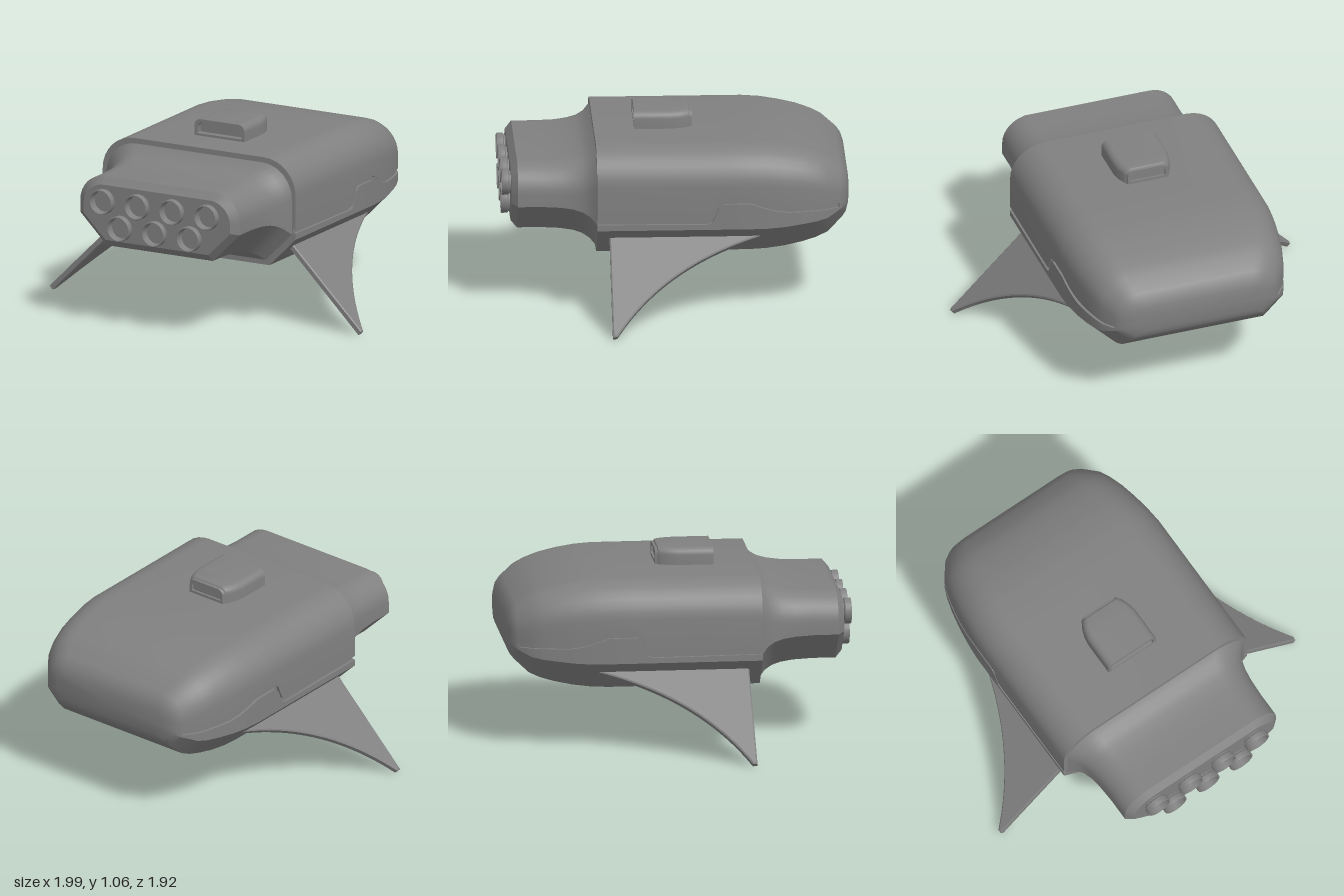
import * as THREE from 'three';
import { toCreasedNormals } from 'three/addons/utils/BufferGeometryUtils.js';

const grey = new THREE.MeshStandardMaterial({ color: 0x808080 });
const greyBoth = new THREE.MeshStandardMaterial({ color: 0x808080, side: THREE.DoubleSide });

function part(name, geometry, parent, material = grey) {
  const mesh = new THREE.Mesh(geometry, material);
  mesh.name = name;
  parent.add(mesh);
  return mesh;
}

// Linear interpolation in rows whose first entry is a falling z
function lookUp(rows, z) {
  let i = 0;
  while (i < rows.length - 2 && z < rows[i + 1][0]) i++;
  const [a, b] = [rows[i], rows[i + 1]];
  const t = THREE.MathUtils.clamp((z - a[0]) / (b[0] - a[0]), 0, 1);
  return a.map((v, k) => v + (b[k] - v) * t);
}

// Section with chamfered bottom corners, rounded top corners and an optional side groove
function section([z, w, top, bottom, chamfer, radius], groove) {
  const half = [[w - chamfer, bottom], [w, bottom + chamfer]];
  if (groove) {
    const { y, depth, h } = groove;
    half.push([w, y - h], [w - depth, y - h], [w - depth, y + h], [w, y + h]);
  }
  for (let i = 0; i <= 8; i++) {
    const a = (i / 8) * Math.PI / 2;
    half.push([w - radius + Math.cos(a) * radius, top - radius + Math.sin(a) * radius]);
  }
  const mirrored = half.map(([x, y]) => [-x, y]).reverse();
  return [...half, ...mirrored].map(([x, y]) => [x, y, z]);
}

// Skin over a row of sections, closed at both ends
function loft(sections, crease = 0.5) {
  const n = sections[0].length, positions = sections.flat(2), index = [];
  sections.forEach((s, i) => {
    if (i === sections.length - 1) return;
    for (let j = 0; j < n; j++) {
      const a = i * n + j, b = i * n + (j + 1) % n;
      index.push(a, a + n, b, b, a + n, b + n);
    }
  });
  [0, sections.length - 1].forEach((i, end) => {
    const ys = sections[i].map(p => p[1]);
    const centre = positions.length / 3;
    positions.push(0, (Math.min(...ys) + Math.max(...ys)) / 2, sections[i][0][2]);
    for (let j = 0; j < n; j++) {
      const a = i * n + j, b = i * n + (j + 1) % n;
      if (end) index.push(centre, b, a);
      else index.push(centre, a, b);
    }
  });
  const g = new THREE.BufferGeometry();
  g.setAttribute('position', new THREE.Float32BufferAttribute(positions, 3));
  g.setIndex(index);
  return toCreasedNormals(g, crease);
}

// Main hull: z, half width, top, bottom, chamfer, corner radius
function hullGeometry() {
  const rows = [
    [0.445, 0.618, 0.965, 0.35, 0.168, 0.2], [-0.4, 0.618, 0.965, 0.35, 0.168, 0.2],
    [-0.5, 0.61, 0.96, 0.355, 0.162, 0.2], [-0.6, 0.597, 0.947, 0.367, 0.155, 0.2],
    [-0.7, 0.578, 0.926, 0.387, 0.145, 0.19], [-0.78, 0.556, 0.9, 0.41, 0.13, 0.18],
    [-0.84, 0.532, 0.872, 0.437, 0.115, 0.17], [-0.92, 0.47, 0.81, 0.51, 0.08, 0.14],
    [-0.945, 0.43, 0.775, 0.54, 0.06, 0.1], [-0.96, 0.37, 0.73, 0.58, 0.05, 0.06]
  ];
  // Height of the side seam
  const seam = [
    [0.445, 0.565], [-0.165, 0.56], [-0.195, 0.57], [-0.215, 0.61], [-0.23, 0.65],
    [-0.26, 0.675], [-0.41, 0.675], [-0.46, 0.655], [-0.55, 0.627], [-0.62, 0.615],
    [-0.9, 0.61], [-0.905, 0.61], [-0.92, 0.62], [-0.945, 0.643], [-0.96, 0.655]
  ];
  const stations = [...new Set([...rows, ...seam].map(r => r[0]))].sort((a, b) => b - a);
  return loft(stations.map(z => section(lookUp(rows, z),
    { y: lookUp(seam, z)[1], h: 0.012, depth: z < -0.9 ? 0.0005 : 0.016 })));
}

// Flared block that carries the nozzles
function neckGeometry() {
  return loft([
    [0.915, 0.47, 0.815, 0.5, 0.14, 0.13], [0.88, 0.51, 0.855, 0.46, 0.17, 0.155],
    [0.75, 0.51, 0.855, 0.46, 0.17, 0.155], [0.64, 0.515, 0.859, 0.455, 0.17, 0.16],
    [0.57, 0.524, 0.868, 0.446, 0.17, 0.165], [0.52, 0.537, 0.88, 0.432, 0.17, 0.17],
    [0.48, 0.558, 0.9, 0.411, 0.17, 0.18], [0.445, 0.594, 0.935, 0.378, 0.167, 0.19],
    [0.42, 0.6, 0.94, 0.37, 0.167, 0.19]
  ].map(r => section(r)));
}

// Roof intake with recessed mouths at both ends
function intakeGeometry() {
  return loft([
    [0.18, 0.14, 1.042, 0.978, 0.004, 0.03], [0.22, 0.14, 1.042, 0.978, 0.004, 0.03],
    [0.22, 0.16, 1.06, 0.94, 0.004, 0.04], [0.02, 0.16, 1.06, 0.94, 0.004, 0.04],
    [-0.03, 0.151, 1.06, 0.94, 0.004, 0.04], [-0.07, 0.136, 1.06, 0.94, 0.004, 0.04],
    [-0.085, 0.128, 1.058, 0.94, 0.004, 0.04], [-0.09, 0.122, 1.05, 0.94, 0.004, 0.035],
    [-0.103, 0.117, 1.048, 0.94, 0.004, 0.035], [-0.103, 0.102, 1.035, 0.98, 0.004, 0.025],
    [-0.09, 0.102, 1.035, 0.98, 0.004, 0.025]
  ].map(r => section(r)));
}

// Swept fin, drawn along z and outward from the root
function finGeometry() {
  const s = new THREE.Shape();
  s.moveTo(0.375, -0.02);
  s.lineTo(0.375, 0.69);
  s.lineTo(0.35, 0.69);
  s.quadraticCurveTo(0.08, 0.25, -0.46, 0.07);
  s.lineTo(-0.46, -0.02);
  s.closePath();
  const g = new THREE.ExtrudeGeometry(s, {
    depth: 0.024, curveSegments: 24, bevelSegments: 1,
    bevelSize: 0.008, bevelThickness: 0.005, bevelOffset: -0.008
  });
  return g.translate(0, 0, -0.012);
}

// Flat rectangle with an optional rectangular hole, facing down
function plateGeometry(w, d, thickness, holeW, holeD) {
  const rect = (path, a, b) => path.moveTo(-a / 2, -b / 2).lineTo(a / 2, -b / 2)
    .lineTo(a / 2, b / 2).lineTo(-a / 2, b / 2).closePath();
  const s = new THREE.Shape();
  rect(s, w, d);
  if (holeW) {
    const hole = new THREE.Path();
    rect(hole, holeW, holeD);
    s.holes.push(hole);
  }
  return new THREE.ExtrudeGeometry(s, { depth: thickness, bevelEnabled: false }).rotateX(Math.PI / 2);
}

export function createModel() {
  const model = new THREE.Group();
  model.name = 'finnedPod';
  part('hull', hullGeometry(), model);
  part('nozzleBlock', neckGeometry(), model);
  part('roofIntake', intakeGeometry(), model);

  // Two staggered rows of hollow, thin-lipped nozzles
  const profile = [[0.062, -0.02], [0.062, 0.008], [0.072, 0.014], [0.072, 0.046], [0.07, 0.05],
    [0.065, 0.05], [0.06, 0.005], [0, 0.005]].map(p => new THREE.Vector2(...p));
  const nozzle = toCreasedNormals(new THREE.LatheGeometry(profile, 32).rotateX(Math.PI / 2), 0.5);
  const nozzles = new THREE.Group();
  nozzles.name = 'nozzles';
  model.add(nozzles);
  for (const [count, y] of [[4, 0.724], [3, 0.584]]) {
    for (let i = 0; i < count; i++) {
      part('nozzle', nozzle, nozzles, greyBoth).position.set((i - (count - 1) / 2) * 0.223, y, 0.915);
    }
  }

  // Fins slope down and out at 45 degrees
  const fin = finGeometry();
  for (const side of [1, -1]) {
    const along = new THREE.Vector3(0, 0, 1);
    const out = new THREE.Vector3(side, -1, 0).normalize();
    const mesh = part(side > 0 ? 'leftFin' : 'rightFin', fin, model);
    mesh.quaternion.setFromRotationMatrix(
      new THREE.Matrix4().makeBasis(along, out, along.clone().cross(out)));
    mesh.position.set(0.5 * side, 0.5, 0);
  }

  // Belly hatch of nested frames
  const hatch = new THREE.Group();
  hatch.name = 'bellyHatch';
  hatch.position.set(0, 0.36, 0.09);
  model.add(hatch);
  part('hatchBase', plateGeometry(0.66, 0.39, 0.02), hatch);
  part('hatchOuterFrame', plateGeometry(0.67, 0.4, 0.03, 0.54, 0.29), hatch);
  part('hatchInnerFrame', plateGeometry(0.52, 0.27, 0.03, 0.34, 0.13), hatch);
  part('hatchCentre', plateGeometry(0.32, 0.11, 0.03), hatch);
  return model;
}
